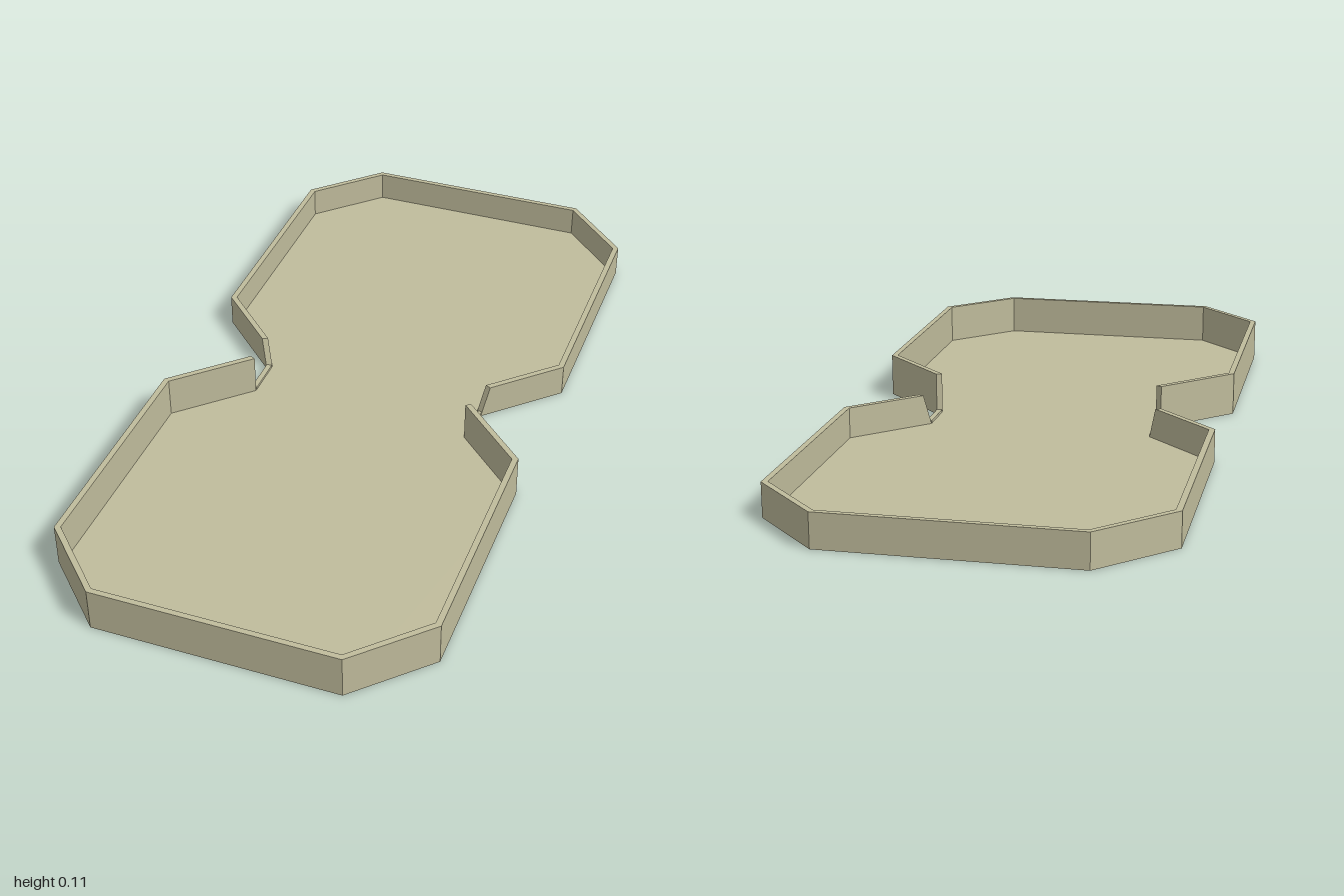
import * as THREE from 'three';

const FLOOR = 0.006;

// Closed shape from [x, z] points; the extrusion is later turned to stand on y
function upright(points, height, y) {
  const shape = new THREE.Shape(points.map(([x, z]) => new THREE.Vector2(x, -z)));
  const geo = new THREE.ExtrudeGeometry(shape, { depth: height, bevelEnabled: false });
  geo.rotateX(-Math.PI / 2);
  geo.translate(0, y, 0);
  return geo;
}

// Half outline on +x from the neck to the far end, then mirrored to -x
const outerHalf = [[0.305, 0.05], [0.478, 0.218], [0.478, 0.83], [0.308, 1]];
const innerHalf = [[0.291, 0.057], [0.463, 0.224], [0.463, 0.824], [0.302, 0.986]];
const mirrored = (pts) => [...pts, ...pts.map(([x, z]) => [-x, z]).reverse()];
const flipZ = (pts) => pts.map(([x, z]) => [x, -z]);

export function createModel() {
  const group = new THREE.Group();
  group.name = 'tray';
  const material = new THREE.MeshStandardMaterial({ color: 0xc0bc9c });
  material.name = 'khaki';
  const add = (name, geo) => {
    const mesh = new THREE.Mesh(geo, material);
    mesh.name = name;
    group.add(mesh);
  };

  const outer = mirrored(outerHalf);
  const inner = mirrored(innerHalf);

  // Floor with a narrow neck between the two basins
  add('floor', upright([...outer, ...flipZ(outer).reverse()], FLOOR, 0));

  // Open-ended rim walls, the front one taller
  const ring = [...outer, ...[...inner].reverse()];
  add('frontWall', upright(ring, 0.112 - FLOOR, FLOOR));

  // The rear wall ends lean back along the diagonal sides
  const rear = upright(flipZ(ring), 0.086 - FLOOR, FLOOR);
  const p = rear.attributes.position;
  for (let i = 0; i < p.count; i++) {
    if (p.getZ(i) > -0.1 && p.getY(i) > 0.05) {
      p.setX(i, p.getX(i) + Math.sign(p.getX(i)) * 0.0165);
      p.setZ(i, p.getZ(i) - 0.016);
    }
  }
  rear.computeVertexNormals();
  add('rearWall', rear);

  // Low lips along the neck
  for (const side of [1, -1]) {
    const lip = new THREE.BoxGeometry(0.014, 0.007, 0.104);
    lip.translate(side * 0.298, FLOOR + 0.0035, 0);
    add(side > 0 ? 'leftNeckLip' : 'rightNeckLip', lip);
  }
  return group;
}
